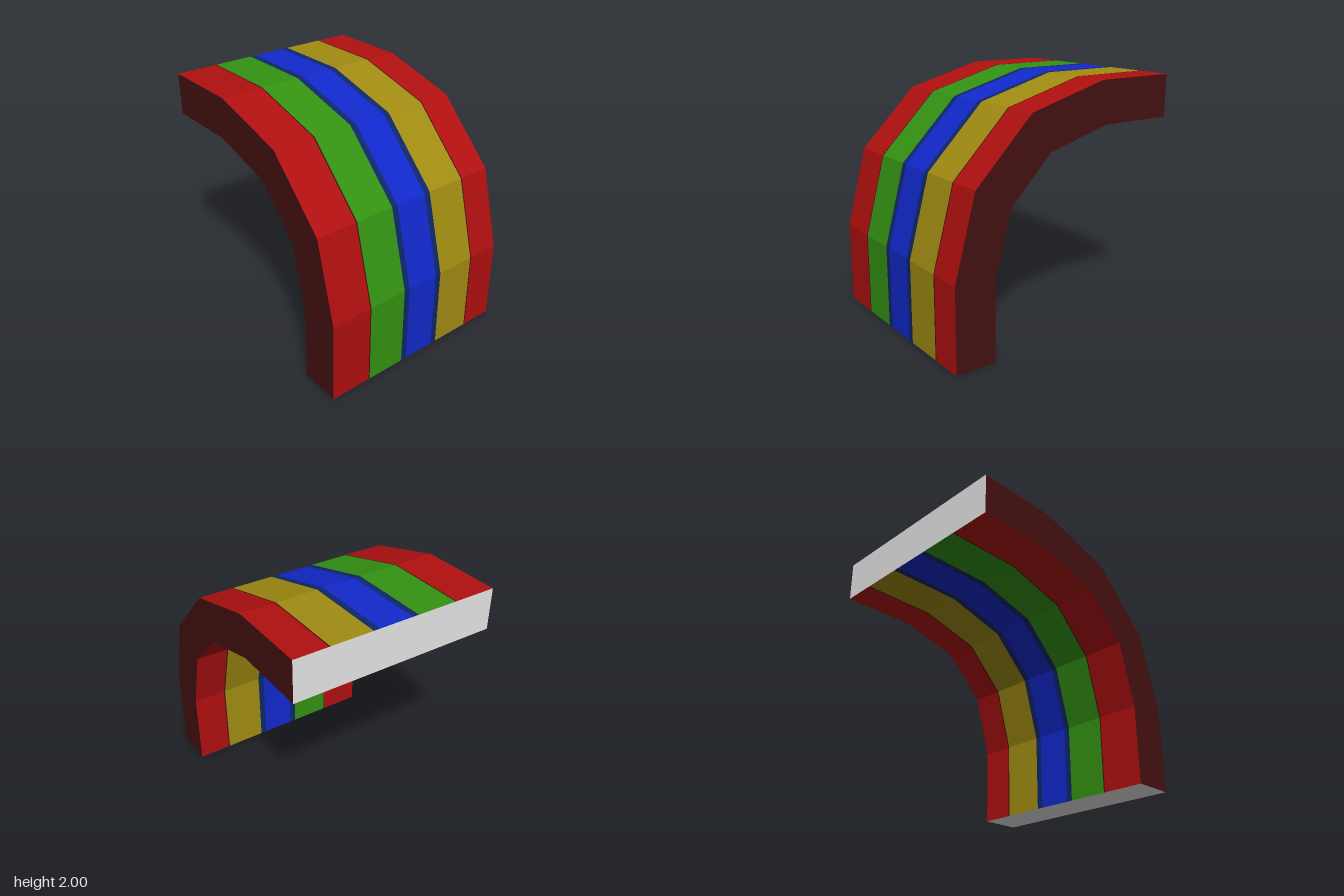
import * as THREE from 'three';

const paint = (name, color) => {
  const m = new THREE.MeshStandardMaterial({ color });
  m.name = name;
  return m;
};

// Arch profile as [z, y], from the foot up to the far end
const OUTER = [[1, 0], [1, 0.68], [0.825, 1.335], [0.34, 1.82], [-0.32, 2], [-1, 2]];
const INNER = [[0.66, 0], [0.66, 0.64], [0.52, 1.16], [0.17, 1.515], [-0.36, 1.66], [-1, 1.66]];
const HALF = 0.85;

// Flat faceted geometry from quads, corners counter-clockwise
function quads(list) {
  const pos = [];
  for (const [a, b, c, d] of list) pos.push(...a, ...b, ...c, ...a, ...c, ...d);
  const g = new THREE.BufferGeometry();
  g.setAttribute('position', new THREE.Float32BufferAttribute(pos, 3));
  g.computeVertexNormals();
  return g;
}

// Quads sweeping a path of [z, y] points across x0..x1
function band(path, x0, x1) {
  const list = [];
  for (let i = 0; i + 1 < path.length; i++) {
    const [az, ay] = path[i], [bz, by] = path[i + 1];
    list.push([[x0, ay, az], [x1, ay, az], [x1, by, bz], [x0, by, bz]]);
  }
  return list;
}

export function createModel() {
  const red = paint('red', 0xb11010);
  const green = paint('green', 0x349312);
  const blue = paint('blue', 0x1129cd);
  const navy = paint('navy', 0x0e276b);
  const yellow = paint('yellow', 0xa18c12);
  const maroon = paint('dark maroon', 0x451010);
  const white = paint('white', 0xffffff);

  const group = new THREE.Group();
  group.name = 'stripedArch';
  const add = (name, list, material) => {
    const mesh = new THREE.Mesh(quads(list), material);
    mesh.name = name;
    group.add(mesh);
  };

  // Stripes running over the outside and back along the underside
  const innerBack = [...INNER].reverse();
  const stripes = [
    ['redStripeRight', -HALF, -0.505, red],
    ['seamRight', -0.505, -0.495, maroon],
    ['greenStripe', -0.495, -0.162, green],
    ['navyEdgeRight', -0.162, -0.11, navy],
    ['blueStripe', -0.11, 0.168, blue],
    ['navyEdgeLeft', 0.168, 0.22, navy],
    ['yellowStripe', 0.22, 0.563, yellow],
    ['seamLeft', 0.563, 0.573, maroon],
    ['redStripeLeft', 0.573, HALF, red],
  ];
  for (const [name, x0, x1, material] of stripes) {
    add(name, [...band(OUTER, x0, x1), ...band(innerBack, x0, x1)], material);
  }

  // Side walls, mirrored across x
  for (const s of [1, -1]) {
    const at = ([z, y]) => [s * HALF, y, z];
    const wall = [];
    for (let i = 0; i + 1 < OUTER.length; i++) {
      const q = [OUTER[i], INNER[i], INNER[i + 1], OUTER[i + 1]].map(at);
      wall.push(s > 0 ? q : q.reverse());
    }
    add(s > 0 ? 'leftSide' : 'rightSide', wall, maroon);
  }

  // Plain end faces
  add('backEnd', band([OUTER[5], INNER[5]], -HALF, HALF), white);
  add('footEnd', band([INNER[0], OUTER[0]], -HALF, HALF), white);

  return group;
}
